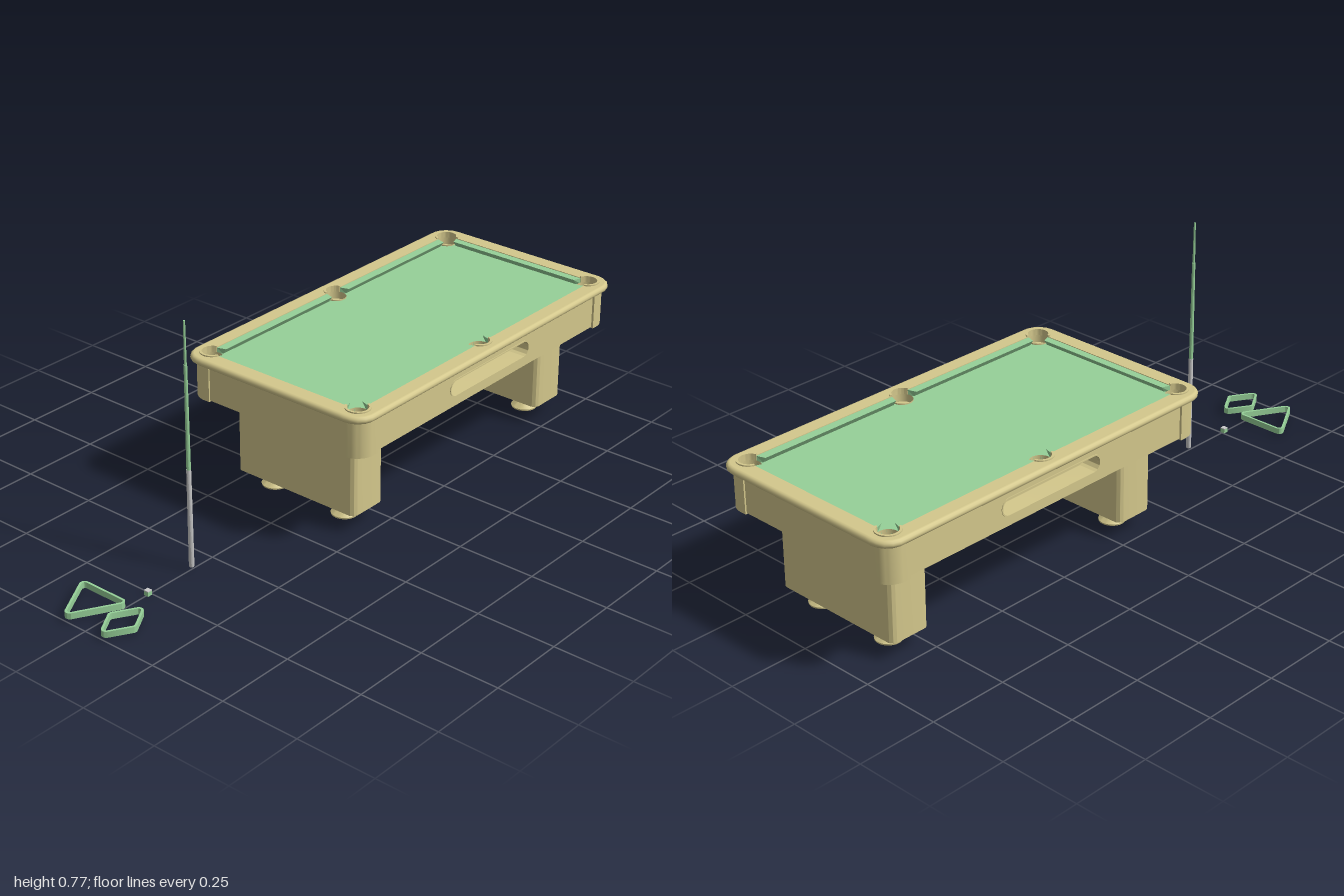
import * as THREE from 'three';
import { toCreasedNormals } from 'three/addons/utils/BufferGeometryUtils.js';

const mat = (color) => new THREE.MeshStandardMaterial({ color, side: THREE.DoubleSide });
const wood = mat(0xd4c88c), cloth = mat(0x96d098), grey = mat(0xcccccc);

function add(parent, name, geo, material, x = 0, y = 0, z = 0) {
  const mesh = new THREE.Mesh(geo, material);
  mesh.name = name;
  mesh.position.set(x, y, z);
  parent.add(mesh);
  return mesh;
}

// Plan shape (x, z) raised from y0 to y1
function slab(shape, y0, y1) {
  const geo = new THREE.ExtrudeGeometry(shape, { depth: y1 - y0, bevelEnabled: false, curveSegments: 16 });
  geo.rotateX(Math.PI / 2).translate(0, y1, 0);
  return toCreasedNormals(geo, 0.6);
}

// Rounded rectangle of half sizes a, b
function roundRect(a, b, r, Type = THREE.Shape) {
  const s = new Type();
  s.absarc(a - r, b - r, r, 0, Math.PI / 2);
  s.absarc(-a + r, b - r, r, Math.PI / 2, Math.PI);
  s.absarc(-a + r, -b + r, r, Math.PI, Math.PI * 1.5);
  s.absarc(a - r, -b + r, r, Math.PI * 1.5, Math.PI * 2);
  s.closePath();
  return s;
}

const polygon = (pts, sx = 1, sz = 1) =>
  new THREE.Shape(pts.map(([x, z]) => new THREE.Vector2(x * sx, z * sz)));

const lathe = (pts, n = 32) =>
  toCreasedNormals(new THREE.LatheGeometry(pts.map((p) => new THREE.Vector2(...p)), n), 0.5);

// Six pockets, counter-clockwise, with the angles where each meets the rail
const R = 0.032, PX = 0.56, PZ = 0.275, CUT = Math.asin(0.01 / R);
const pockets = [[1, 1, 0], [0, 1], [-1, 1, 1], [-1, -1, 2], [0, -1], [1, -1, 3]].map(([sx, sz, k]) => {
  const a = sx ? [CUT - Math.PI / 2 + k * Math.PI / 2, Math.PI - CUT + k * Math.PI / 2]
    : [CUT, Math.PI - CUT].map((t) => t + (sz < 0 ? Math.PI : 0));
  return { x: sx * PX, z: sz * PZ, a0: a[0], a1: a[1] };
});

// Bed outline: pockets bulge out (rail opening) or bite in (cloth)
function bedOutline(Type, biteIn) {
  const s = new Type();
  pockets.forEach((p) => s.absarc(p.x, p.z, R, p.a0, p.a1, biteIn));
  s.closePath();
  return s;
}

function buildTop(table) {
  // Rail with a rounded outer edge
  const rail = roundRect(0.613, 0.326, 0.05);
  rail.holes.push(bedOutline(THREE.Path, false));
  add(table, 'rail', slab(rail, 0.423, 0.446), wood);
  const edge = roundRect(0.613, 0.326, 0.05).getSpacedPoints(160).slice(0, -1);
  const curve = new THREE.CatmullRomCurve3(edge.map((p) => new THREE.Vector3(p.x, 0.4345, p.y)), true);
  add(table, 'railEdge', new THREE.TubeGeometry(curve, 200, 0.0118, 12, true), wood);
  add(table, 'playingSurface', slab(bedOutline(THREE.Shape, true), 0.415, 0.426), cloth);

  // Pocket cups and their horseshoe collars
  for (const p of pockets) {
    add(table, 'pocketCup', new THREE.CylinderGeometry(R, R, 0.025, 32, 1, true), wood, p.x, 0.4175, p.z);
    add(table, 'pocketFloor', new THREE.CircleGeometry(R, 32).rotateX(-Math.PI / 2), wood, p.x, 0.406, p.z);
    const c = new THREE.Shape();
    c.absarc(0, 0, 0.038, p.a0, p.a1, false);
    c.absarc(0, 0, 0.031, p.a1, p.a0, true);
    add(table, 'pocketCollar', slab(c, 0.43, 0.45), wood, p.x, 0, p.z);
  }

  // Cushions, undercut below the nose
  const cushion = (pts, sx, sz, noseX, noseZ) => {
    const geo = new THREE.ExtrudeGeometry(polygon(pts, sx, sz), { depth: 0.018, bevelEnabled: false });
    geo.rotateX(Math.PI / 2).translate(0, 0.444, 0);
    const p = geo.attributes.position;
    for (let i = 0; i < p.count; i++) {
      if (p.getY(i) > 0.43) continue;
      if (noseX && Math.abs(p.getX(i)) < 0.55) p.setX(i, p.getX(i) + sx * 0.012);
      if (noseZ && Math.abs(p.getZ(i)) < 0.26) p.setZ(i, p.getZ(i) + sz * 0.012);
    }
    geo.computeVertexNormals();
    add(table, 'cushion', geo, cloth);
  };
  for (const s of [1, -1]) {
    cushion([[0.57, 0.244], [0.545, 0.235], [0.545, -0.235], [0.57, -0.244]], s, 1, true, false);
    for (const t of [1, -1])
      cushion([[0.031, 0.285], [0.04, 0.257], [0.52, 0.257], [0.529, 0.285]], s, t, false, true);
  }
}

function buildBody(table) {
  add(table, 'underside', slab(roundRect(0.6, 0.314, 0.05), 0.313, 0.32), wood);
  for (const s of [1, -1]) {
    add(table, 'endPanel', new THREE.BoxGeometry(0.01, 0.112, 0.52), wood, s * 0.6, 0.369, 0);

    // Long panel with a slot and the ball tray behind it
    const panel = new THREE.Shape([[-0.55, 0.313], [0.55, 0.313], [0.55, 0.425], [-0.55, 0.425]]
      .map((p) => new THREE.Vector2(...p)));
    const slot = roundRect(0.19, 0.0245, 0.024).getPoints(12);
    panel.holes.push(new THREE.Path(slot.map((p) => new THREE.Vector2(p.x, p.y + 0.37))));
    const panelGeo = new THREE.ExtrudeGeometry(panel, { depth: 0.01, bevelEnabled: false });
    add(table, 'sidePanel', toCreasedNormals(panelGeo, 0.6), wood, 0, 0, s > 0 ? 0.308 : -0.318);

    const tray = roundRect(0.194, 0.0285, 0.028);
    tray.holes.push(roundRect(0.19, 0.0245, 0.024, THREE.Path));
    const trayGeo = new THREE.ExtrudeGeometry(tray, { depth: 0.06, bevelEnabled: false });
    add(table, 'ballTray', toCreasedNormals(trayGeo, 0.6), wood, 0, 0.37, s > 0 ? 0.26 : -0.32);
    add(table, 'trayBack', new THREE.BoxGeometry(0.39, 0.056, 0.004), wood, 0, 0.37, s * 0.26);
  }

  // Rounded corner castings, hollow around the pockets
  const arc = (r) => Array.from({ length: 13 }, (_, i) => {
    const a = (i / 12) * Math.PI / 2;
    return [0.55 + r * Math.cos(a), 0.265 + r * Math.sin(a)];
  });
  const outer = [[0.61, 0.245], ...arc(0.06), [0.53, 0.325]];
  const inner = [[0.53, 0.313], ...arc(0.048).reverse(), [0.598, 0.245]];
  for (const sx of [1, -1]) for (const sz of [1, -1]) {
    add(table, 'cornerCasting', slab(polygon([...outer, ...inner], sx, sz), 0.31, 0.425), wood);
    add(table, 'cornerBase', slab(polygon([...outer, [0.53, 0.245]], sx, sz), 0.31, 0.318), wood);
  }
}

function buildLegs(table) {
  const foot = lathe([[0, 0.01], [0.04, 0.01], [0.041, 0.015], [0.012, 0.037], [0.009, 0.04], [0.009, 0.058]]);
  for (const s of [1, -1]) {
    add(table, 'leg', slab(roundRect(0.067, 0.225, 0.02), 0.056, 0.315), wood, s * 0.448);
    for (const t of [1, -1]) add(table, 'levellingFoot', foot, wood, s * 0.448, 0, t * 0.135);
  }
}

// Hollow rack frame: corner circles of radius r joined by straight sides
function rackShape(corners, r, wall) {
  const outline = (rad, Type) => {
    const s = new Type(), n = corners.length;
    const normal = (a, b) => Math.atan2(-(b[0] - a[0]), b[1] - a[1]);
    corners.forEach((c, i) => {
      const a0 = normal(corners[(i + n - 1) % n], c);
      let a1 = normal(c, corners[(i + 1) % n]);
      if (a1 < a0) a1 += Math.PI * 2;
      s.absarc(c[0], c[1], rad, a0, a1);
    });
    s.closePath();
    return s;
  };
  const shape = outline(r, THREE.Shape);
  shape.holes.push(outline(r - wall, THREE.Path));
  return shape;
}

export function createModel() {
  const model = new THREE.Group();
  model.name = 'billiardSet';
  const table = new THREE.Group();
  table.name = 'table';
  table.position.x = 0.37;
  model.add(table);
  buildTop(table);
  buildBody(table);
  buildLegs(table);

  // Standing cue: grey butt, green shaft
  add(model, 'cueButt', lathe([[0, 0.01], [0.007, 0.01], [0.008, 0.014], [0.007, 0.32], [0, 0.32]], 20), grey, -0.585);
  add(model, 'cueShaft', lathe([[0.0065, 0.32], [0.005, 0.64], [0.004, 0.64], [0.003, 0.77], [0, 0.77]], 20), cloth, -0.585);

  // Chalk cube with a grey top
  add(model, 'chalk', new THREE.BoxGeometry(0.016, 0.013, 0.016), cloth, -0.76, 0.0065, 0);
  add(model, 'chalkTop', new THREE.BoxGeometry(0.016, 0.003, 0.016), grey, -0.76, 0.0145, 0);

  // Triangle and diamond racks
  const triangle = [[-0.985, -0.072], [-0.865, -0.14], [-0.865, -0.004]];
  const diamond = [[-0.985, 0.067], [-0.925, 0.031], [-0.865, 0.067], [-0.925, 0.103]];
  add(model, 'triangleRack', slab(rackShape(triangle, 0.015, 0.007), 0.01, 0.029), cloth);
  add(model, 'diamondRack', slab(rackShape(diamond, 0.015, 0.007), 0.01, 0.029), cloth);
  return model;
}
